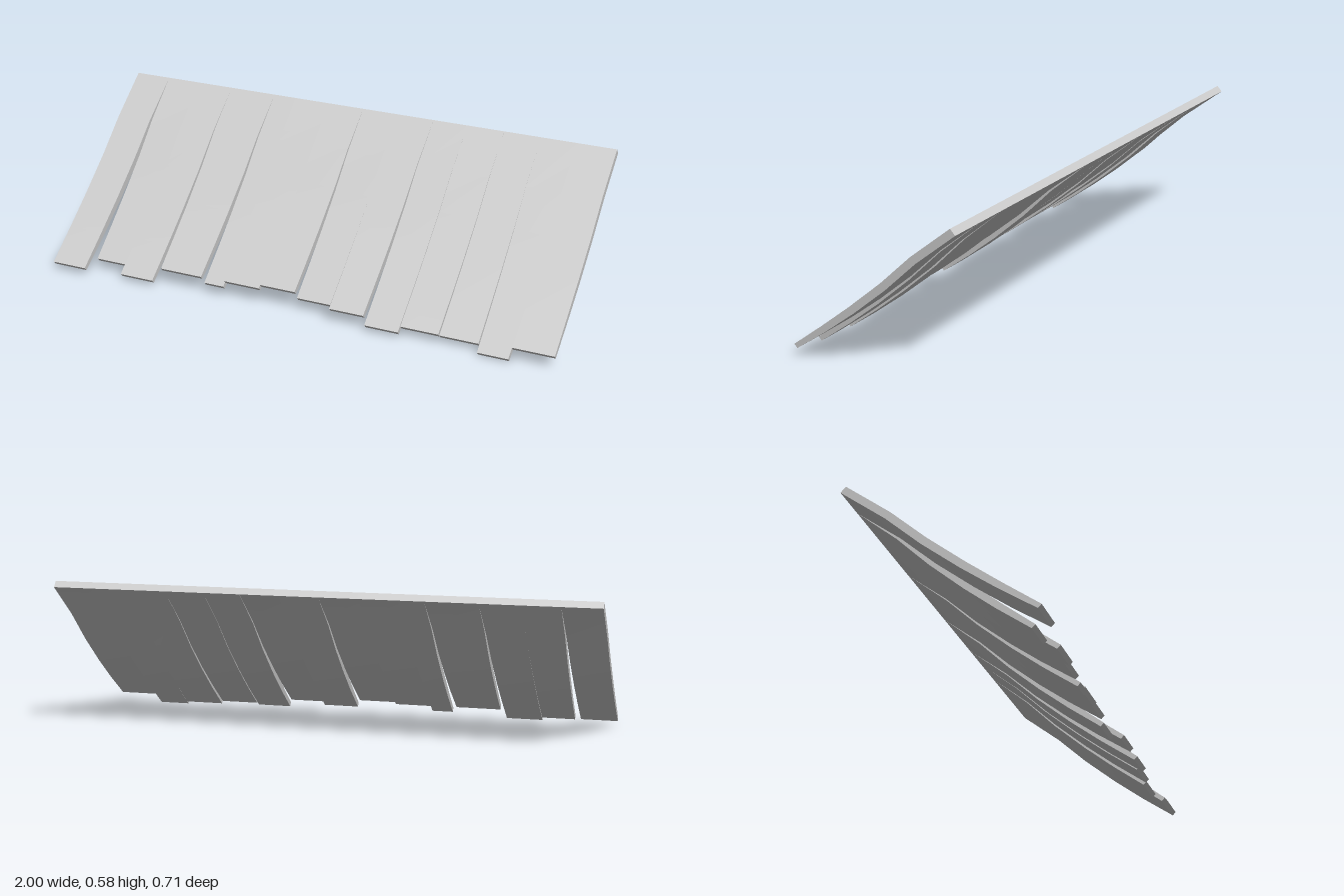
import * as THREE from 'three';

// Each plank: left x, right x at the ridge; left and right x at the eave;
// z and y of the eave tip; slope fraction where the edges start to open.
const PLANKS = [
  [-1, -0.857, -1, -0.86, 0.355, 0.018, 0.05],
  [-0.857, -0.718, -0.845, -0.72, 0.285, 0.032, 0.05],
  [-0.718, -0.573, -0.715, -0.577, 0.33, 0.012, 0.05],
  [-0.573, -0.382, -0.557, -0.385, 0.295, 0.052, 0.06],
  [-0.382, -0.29, -0.37, -0.29, 0.297, 0.032, 0.08],
  [-0.29, -0.145, -0.29, -0.145, 0.29, 0.052, 0.2],
  [-0.145, -0.002, -0.145, -0.003, 0.28, 0.062, 0.2],
  [-0.002, 0.143, 0.004, 0.138, 0.275, 0.037, 0.05],
  [0.143, 0.288, 0.151, 0.285, 0.312, 0.042, 0.05],
  [0.288, 0.425, 0.295, 0.425, 0.324, 0.012, 0.2],
  [0.425, 0.57, 0.425, 0.57, 0.3, 0.024, 0.2],
  [0.57, 0.713, 0.57, 0.717, 0.29, 0.016, 0.1],
  [0.713, 0.852, 0.725, 0.84, 0.325, 0, 0.1],
  [0.852, 1, 0.845, 1, 0.305, 0.037, 0.05],
];

// Bend along the slope: fraction, rise from the straight line, thickness
const BEND = [
  [0, 0, 0.028],
  [0.24, 0.004, 0.028],
  [0.43, -0.01, 0.028],
  [0.63, -0.012, 0.027],
  [0.81, -0.008, 0.024],
  [1, 0, 0.018],
];
const RIDGE = { z: -0.334, y: 0.583 };

function plankGeometry([l0, r0, l1, r1, tipZ, tipY, open]) {
  const segments = BEND.length - 1;
  const geo = new THREE.BoxGeometry(1, 1, 1, 1, 1, segments);
  const pos = geo.attributes.position;
  for (let i = 0; i < pos.count; i++) {
    const [t, rise, thick] = BEND[Math.round((pos.getZ(i) + 0.5) * segments)];
    const spread = Math.max(0, (t - open) / (1 - open));
    const x = pos.getX(i) < 0
      ? THREE.MathUtils.lerp(l0, l1, spread)
      : THREE.MathUtils.lerp(r0, r1, spread);
    // the underside is offset square to the slope
    const drop = pos.getY(i) < 0 ? thick : 0;
    const z = THREE.MathUtils.lerp(RIDGE.z, tipZ, t) - drop * 0.68;
    const y = THREE.MathUtils.lerp(RIDGE.y, tipY + 0.013, t) + rise - drop * 0.73;
    pos.setXYZ(i, x, y, z);
  }
  geo.computeVertexNormals();
  return geo;
}

export function createModel() {
  const group = new THREE.Group();
  group.name = 'plankRoof';
  const material = new THREE.MeshStandardMaterial({ color: 0xcccccc });
  PLANKS.forEach((plank, i) => {
    const mesh = new THREE.Mesh(plankGeometry(plank), material);
    mesh.name = `roofPlank${i + 1}`;
    group.add(mesh);
  });
  return group;
}
